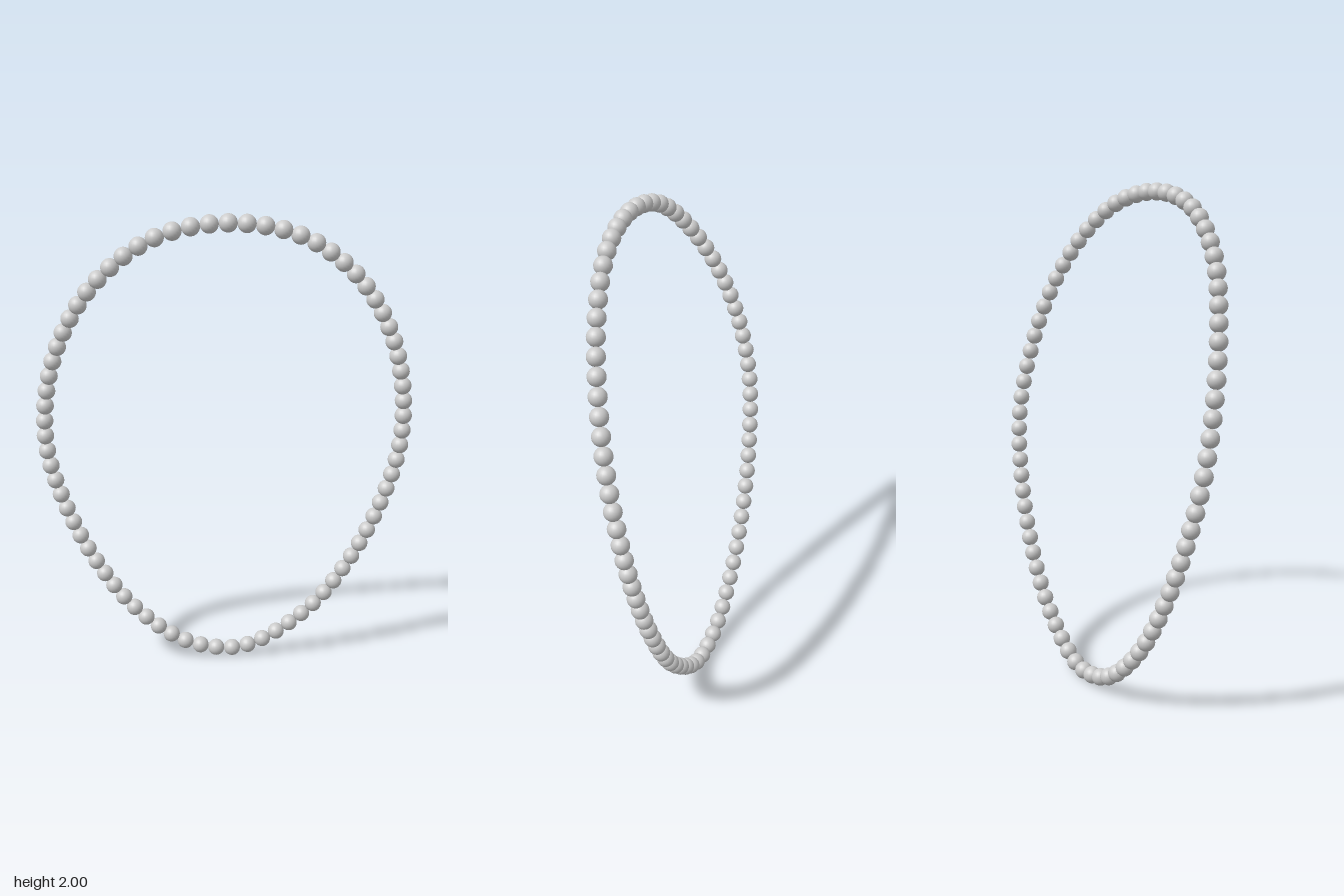
import * as THREE from 'three';

const BEADS = 77;
const RADIUS = 0.035;

// Closed path of the strand, draped forward at the top
const PATH = [
  [0, 1.965, 0.159], [0.272, 1.91, 0.132], [0.487, 1.749, 0.079], [0.632, 1.521, 0.016],
  [0.706, 1.259, -0.043], [0.714, 0.989, -0.095], [0.648, 0.722, -0.124], [0.535, 0.468, -0.143],
  [0.376, 0.241, -0.154], [0.159, 0.074, -0.162], [0.026, 0.036, -0.163], [-0.172, 0.079, -0.162],
  [-0.386, 0.251, -0.154], [-0.542, 0.481, -0.143], [-0.653, 0.735, -0.124], [-0.718, 1.003, -0.095],
  [-0.704, 1.272, -0.044], [-0.624, 1.526, 0.024], [-0.479, 1.751, 0.1], [-0.265, 1.913, 0.147],
];

export function createModel() {
  const model = new THREE.Group();
  model.name = 'beadNecklace';

  const strand = new THREE.CatmullRomCurve3(PATH.map((p) => new THREE.Vector3(...p)), true);
  strand.arcLengthDivisions = 800;

  const material = new THREE.MeshStandardMaterial({ color: 0xcccccc });
  const beadGeometry = new THREE.SphereGeometry(RADIUS, 20, 14);

  // Equal beads, evenly spaced along the strand
  for (let i = 0; i < BEADS; i++) {
    const bead = new THREE.Mesh(beadGeometry, material);
    bead.name = `bead${i + 1}`;
    bead.position.copy(strand.getPointAt(i / BEADS));
    model.add(bead);
  }
  return model;
}
